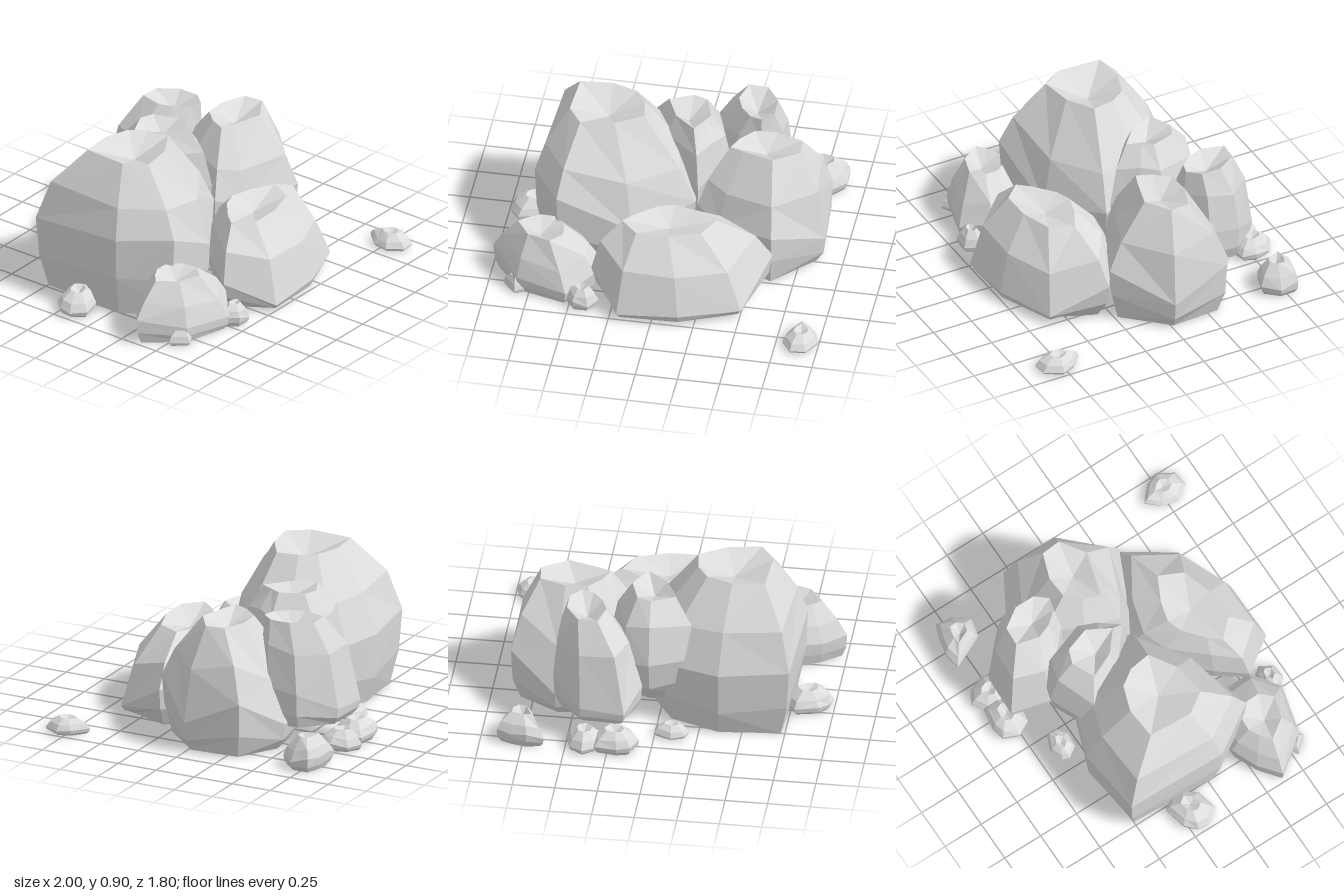
import * as THREE from 'three';

const stone = new THREE.MeshStandardMaterial({ color: 0xdcdcdc });
stone.name = 'grey stone';
stone.flatShading = true;

// Small seeded random generator
function seeded(seed) {
  let s = seed * 7919 + 13;
  return () => ((s = (s * 16807) % 2147483647) / 2147483647);
}

// Smallest and largest x and z of an outline
function bounds(outline) {
  const xs = outline.map(p => p[0]), zs = outline.map(p => p[1]);
  return [Math.min(...xs), Math.max(...xs), Math.min(...zs), Math.max(...zs)];
}

// A faceted boulder made of stacked rings.
// girdle: widest ring as [x, z, y]; top: [xMin, xMax, zMin, zMax] of the flat rim
function boulder(name, girdle, top, height, { base = 0, foot = 0.84, bulge = 0.56, pit = 0.07, seed = 1 } = {}) {
  const rnd = seeded(seed);
  const n = girdle.length;
  const [x0, x1, z0, z1] = bounds(girdle);
  const cx = (x0 + x1) / 2, cz = (z0 + z1) / 2;

  const wide = girdle.map(([x, z, y]) => new THREE.Vector3(x, y, z));
  const bottom = wide.map(p => new THREE.Vector3(cx + (p.x - cx) * foot, base, cz + (p.z - cz) * foot));
  const skirt = wide.map((p, i) => {
    const v = bottom[i].clone().lerp(p, 0.7 + rnd() * 0.15);
    v.y = base + (p.y - base) * (0.35 + rnd() * 0.15);
    return v;
  });
  const rim = wide.map(p => new THREE.Vector3(
    THREE.MathUtils.mapLinear(p.x, x0, x1, top[0], top[1]), height,
    THREE.MathUtils.mapLinear(p.z, z0, z1, top[2], top[3])));
  const shoulder = wide.map((p, i) => {
    const v = p.clone().lerp(rim[i], 0.27 + rnd() * 0.1);
    v.y = p.y + (height - p.y) * (bulge + (rnd() - 0.5) * 0.14);
    return v;
  });

  const pos = [];
  const tri = (...v) => v.forEach(p => pos.push(p.x, p.y, p.z));
  const rings = [bottom, skirt, wide, shoulder, rim];
  const under = new THREE.Vector3(cx, base, cz);
  const hollow = new THREE.Vector3((top[0] + top[1]) / 2, height - pit, (top[2] + top[3]) / 2);
  for (let i = 0; i < n; i++) {
    const j = (i + 1) % n;
    for (let r = 0; r < rings.length - 1; r++) {
      const a = rings[r][i], b = rings[r][j], c = rings[r + 1][i], d = rings[r + 1][j];
      if (rnd() < 0.5) { tri(b, a, c); tri(b, c, d); }
      else { tri(b, a, d); tri(a, c, d); }
    }
    tri(under, bottom[i], bottom[j]);
    tri(hollow, rim[j], rim[i]);
  }
  const geo = new THREE.BufferGeometry();
  geo.setAttribute('position', new THREE.Float32BufferAttribute(pos, 3));
  geo.computeVertexNormals();
  const mesh = new THREE.Mesh(geo, stone);
  mesh.name = name;
  return mesh;
}

// A small stone: its outline at a low, uneven girdle and a small hollow top
function pebble(name, height, outline, seed) {
  const rnd = seeded(seed);
  const [x0, x1, z0, z1] = bounds(outline);
  const girdle = outline.map(([x, z]) => [x, z, height * (0.2 + rnd() * 0.3)]);
  const inset = 0.3;
  const top = [x0 + (x1 - x0) * inset, x1 - (x1 - x0) * inset, z0 + (z1 - z0) * inset, z1 - (z1 - z0) * inset];
  return boulder(name, girdle, top, height, { pit: height * 0.25, bulge: 0.5, foot: 0.82, seed });
}

export function createModel() {
  const group = new THREE.Group();
  group.name = 'rockPile';

  // Large boulders
  group.add(
    boulder('tallBoulder', [
      [-0.78, -0.55, 0.45], [-0.37, -0.59, 0.42], [-0.04, -0.47, 0.4], [0.1, -0.25, 0.42],
      [0.14, 0.05, 0.38], [-0.2, 0.28, 0.3], [-0.63, 0.35, 0.52], [-0.81, 0.06, 0.5],
    ], [-0.62, -0.18, -0.32, 0.09], 0.9, { foot: 0.88, bulge: 0.46, pit: 0.09, seed: 3 }),

    boulder('middleBoulder', [
      [-0.24, -0.46, 0.45], [0.04, -0.58, 0.45], [0.21, -0.52, 0.42], [0.31, -0.24, 0.45],
      [0.24, -0.12, 0.5], [0.15, 0.03, 0.45], [-0.1, -0.17, 0.5],
    ], [-0.09, 0.18, -0.42, -0.1], 0.8, { base: 0.16, foot: 0.65, bulge: 0.6, pit: 0.07, seed: 5 }),

    boulder('rightBoulder', [
      [0.36, -0.48, 0.22], [0.6, -0.51, 0.16], [0.88, -0.35, 0.34], [0.9, 0.0, 0.18],
      [0.63, 0.29, 0.35], [0.3, 0.14, 0.3], [0.15, 0.05, 0.36], [0.22, -0.22, 0.35],
    ], [0.33, 0.74, -0.23, 0.04], 0.74, { foot: 0.85, bulge: 0.5, pit: 0.07, seed: 7 }),

    boulder('rearBoulder', [
      [0.16, -0.77, 0.22], [0.42, -0.76, 0.24], [0.6, -0.58, 0.35], [0.6, -0.39, 0.38],
      [0.46, -0.28, 0.38], [0.3, -0.31, 0.35], [0.16, -0.42, 0.35], [0.08, -0.56, 0.3],
    ], [0.3, 0.53, -0.62, -0.3], 0.765, { base: 0.14, foot: 0.86, bulge: 0.64, pit: 0.08, seed: 11 }),

    boulder('frontBoulder', [
      [-0.04, 0.13, 0.2], [0.13, 0.06, 0.24], [0.36, 0.13, 0.25], [0.64, 0.3, 0.25],
      [0.51, 0.62, 0.06], [0.16, 0.76, 0.07], [-0.2, 0.77, 0.05], [-0.39, 0.53, 0.19], [-0.27, 0.36, 0.22],
    ], [-0.22, 0.32, 0.25, 0.56], 0.5, { foot: 0.8, bulge: 0.54, pit: 0.06, seed: 13 }),

    boulder('leftBoulder', [
      [-0.87, 0.26, 0.14], [-0.72, 0.19, 0.16], [-0.5, 0.2, 0.16], [-0.38, 0.36, 0.16],
      [-0.37, 0.53, 0.15], [-0.52, 0.67, 0.08], [-0.82, 0.59, 0.1], [-1.0, 0.36, 0.15],
    ], [-0.85, -0.57, 0.3, 0.54], 0.36, { foot: 0.9, bulge: 0.48, pit: 0.06, seed: 17 }),
  );

  // Scattered small stones
  group.add(
    pebble('leftStone', 0.13, [[-0.98, -0.22], [-0.92, -0.28], [-0.78, -0.31], [-0.7, -0.2], [-0.8, -0.09], [-0.93, -0.06], [-0.99, -0.14]], 23),
    pebble('rearLeftStone', 0.08, [[-0.2, -0.6], [-0.18, -0.64], [-0.1, -0.67], [0, -0.63], [0, -0.57], [-0.06, -0.52], [-0.15, -0.53]], 27),
    pebble('rearStone', 0.13, [[0.07, -0.77], [0.11, -0.86], [0.19, -0.88], [0.32, -0.86], [0.36, -0.77], [0.28, -0.66], [0.12, -0.68]], 31),
    pebble('rearSmallStone', 0.12, [[0.31, -0.84], [0.39, -0.9], [0.47, -0.85], [0.5, -0.75], [0.47, -0.67], [0.37, -0.65], [0.28, -0.75]], 35),
    pebble('rearRightStone', 0.19, [[0.62, -0.84], [0.72, -0.86], [0.82, -0.84], [0.9, -0.81], [0.9, -0.7], [0.82, -0.61], [0.71, -0.64]], 39),
    pebble('frontRightStone', 0.09, [[0.88, 0.63], [0.97, 0.71], [1, 0.79], [0.94, 0.89], [0.85, 0.9], [0.79, 0.81], [0.81, 0.71]], 43),
    pebble('frontStone', 0.13, [[-0.53, 0.63], [-0.46, 0.57], [-0.37, 0.58], [-0.33, 0.63], [-0.38, 0.71], [-0.47, 0.71]], 47),
    pebble('frontLeftStone', 0.09, [[-0.91, 0.53], [-0.83, 0.48], [-0.76, 0.53], [-0.77, 0.59], [-0.83, 0.62]], 51),
  );

  return group;
}
